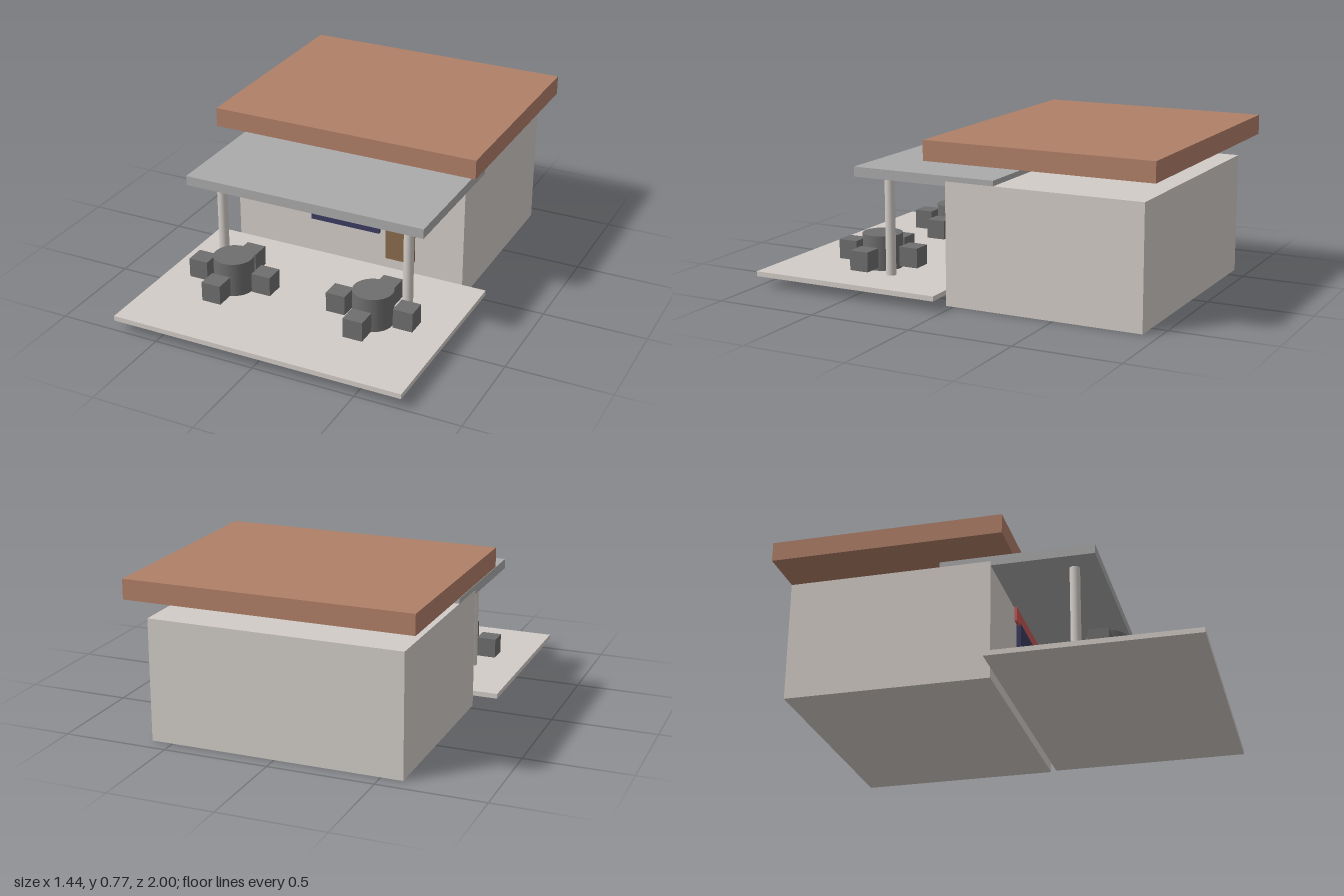
import * as THREE from 'three';

const paint = (color) => new THREE.MeshStandardMaterial({ color });
const stone = paint(0xd2ccc7), clay = paint(0xb07f68), grey = paint(0xaaaaaa);
const dark = paint(0x6e6e6e), navy = paint(0x3c3b60), wood = paint(0x8a6a4c), red = paint(0xc85858);

// Box given by its extents along each axis
function box(name, material, [x0, x1], [y0, y1], [z0, z1]) {
  const mesh = new THREE.Mesh(new THREE.BoxGeometry(x1 - x0, y1 - y0, z1 - z0), material);
  mesh.position.set((x0 + x1) / 2, (y0 + y1) / 2, (z0 + z1) / 2);
  mesh.name = name;
  return mesh;
}

// Upright cylinder between two heights
function post(name, material, radius, x, z, y0, y1) {
  const mesh = new THREE.Mesh(new THREE.CylinderGeometry(radius, radius, y1 - y0, 32), material);
  mesh.position.set(x, (y0 + y1) / 2, z);
  mesh.name = name;
  return mesh;
}

// Round table with four cube stools around it
function tableSet(x, z) {
  const set = new THREE.Group();
  set.name = 'tableSet';
  set.add(post('table', dark, 0.096, 0, 0, 0.075, 0.242));
  const h = 0.048, reach = 0.168;
  for (let i = 0; i < 4; i++) {
    const a = (i * Math.PI) / 2;
    const sx = Math.cos(a) * reach, sz = Math.sin(a) * reach;
    set.add(box('stool', dark, [sx - h, sx + h], [0.099, 0.194], [sz - h, sz + h]));
  }
  set.position.set(x, 0, z);
  return set;
}

export function createModel() {
  const model = new THREE.Group();
  model.name = 'cafe';

  // Building, floating roof and front terrace
  model.add(box('building', stone, [-0.602, 0.602], [0, 0.578], [-0.924, 0.037]));
  model.add(box('roof', clay, [-0.675, 0.675], [0.678, 0.772], [-1, 0.107]));
  model.add(box('terrace', stone, [-0.722, 0.722], [0.051, 0.075], [0.037, 1]));

  // Canopy on two columns
  model.add(box('canopy', grey, [-0.602, 0.602], [0.556, 0.603], [-0.205, 0.518]));
  for (const side of [-1, 1]) {
    model.add(post('column', stone, 0.024, side * 0.482, 0.4, 0.075, 0.556));
    model.add(tableSet(side * 0.362, 0.518));
  }

  // Facade panels, standing just clear of the wall
  model.add(box('window', navy, [-0.181, 0.181], [0.268, 0.459], [0.053, 0.073]));
  model.add(box('signBoard', red, [-0.241, 0.241], [0.448, 0.52], [0.057, 0.069]));
  model.add(box('door', wood, [0.217, 0.361], [0.146, 0.435], [0.051, 0.075]));

  return model;
}
